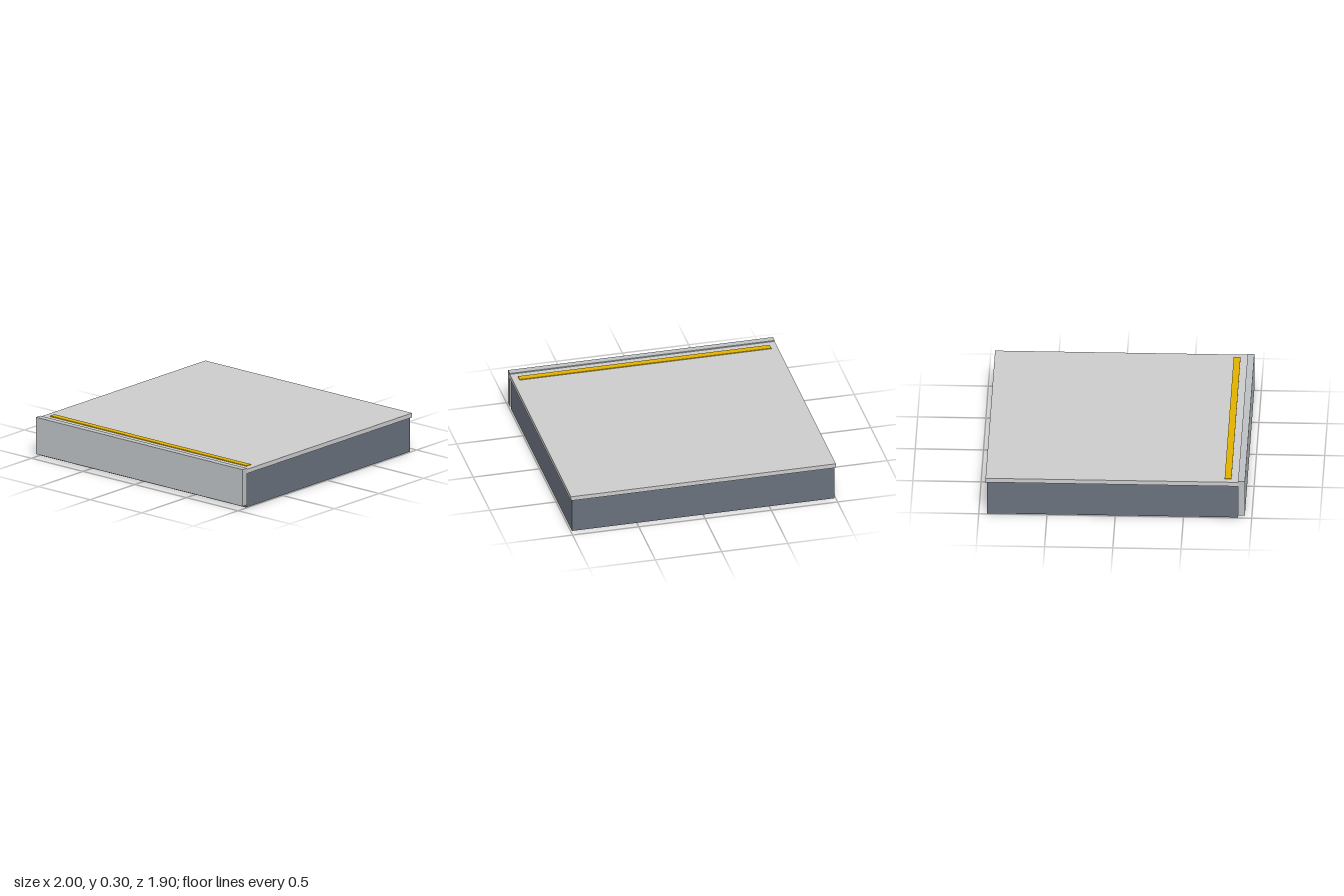
import * as THREE from 'three';

export function createModel() {
  const model = new THREE.Group();
  model.name = 'platformBlock';

  // Box given by its extents; every part is symmetric in x
  const addBox = (name, color, halfX, [y0, y1], [z0, z1]) => {
    const mesh = new THREE.Mesh(
      new THREE.BoxGeometry(halfX * 2, y1 - y0, z1 - z0),
      new THREE.MeshStandardMaterial({ color })
    );
    mesh.name = name;
    mesh.position.set(0, (y0 + y1) / 2, (z0 + z1) / 2);
    model.add(mesh);
  };

  // Dark supporting base, slightly inset under the slab
  addBox('base', 0x68707c, 0.99, [0, 0.262], [-0.94, 0.9]);
  // Walking surface
  addBox('deckSlab', 0xcccccc, 1, [0.262, 0.295], [-0.95, 0.9]);
  // Front facing, standing just proud of the deck
  addBox('frontFascia', 0xbcc0c2, 1, [0.022, 0.303], [0.9, 0.95]);
  // Raised warning strip near the front edge
  addBox('warningStripe', 0xe0b000, 0.95, [0.29, 0.301], [0.8, 0.85]);

  return model;
}
